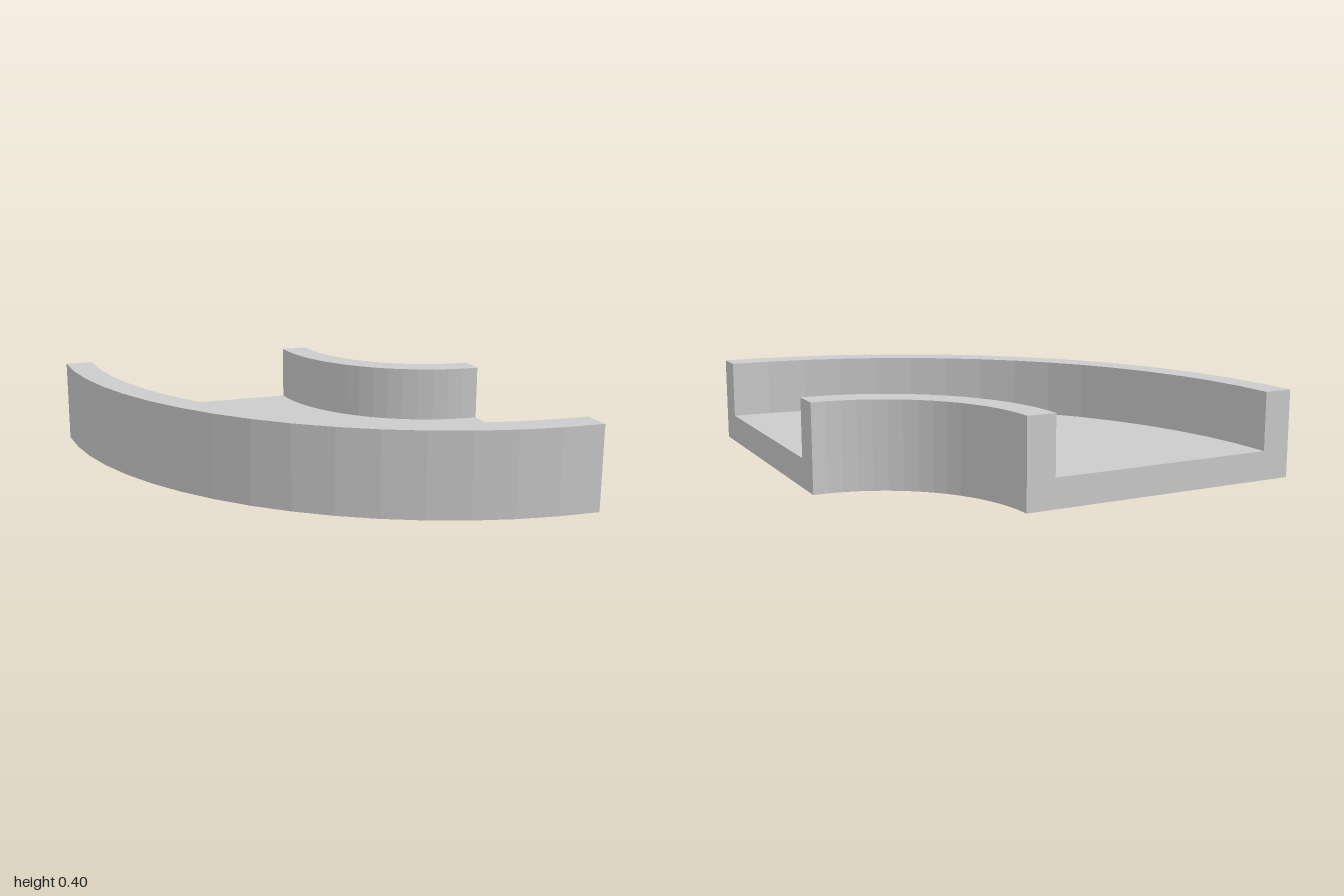
import * as THREE from 'three';

export function createModel() {
  const group = new THREE.Group();
  group.name = 'curvedTrack';
  const material = new THREE.MeshStandardMaterial({ color: 0xcccccc, flatShading: true });

  // U-shaped channel section as (radius, height), counter-clockwise
  const inner = 2 / 3, outer = 2, wall = 2 / 15, height = 0.4, floor = 2 / 15;
  const section = [
    [inner, 0], [outer, 0], [outer, height], [outer - wall, height],
    [outer - wall, floor], [inner + wall, floor], [inner + wall, height], [inner, height],
  ].map(([r, y]) => new THREE.Vector2(r, y));

  const add = (name, geometry) => {
    const mesh = new THREE.Mesh(geometry, material);
    mesh.name = name;
    mesh.position.set(1, 0, -1); // centre of the bend
    group.add(mesh);
  };

  // Quarter-turn channel: floor and both side walls
  add('channel', new THREE.LatheGeometry([...section, section[0]], 16, -Math.PI / 2, Math.PI / 2));

  // Flat ends closing the section
  add('backEnd', new THREE.ShapeGeometry(new THREE.Shape(section)).rotateY(Math.PI));
  const mirrored = section.map((p) => new THREE.Vector2(-p.x, p.y)).reverse();
  add('leftEnd', new THREE.ShapeGeometry(new THREE.Shape(mirrored)).rotateY(Math.PI / 2));

  return group;
}
